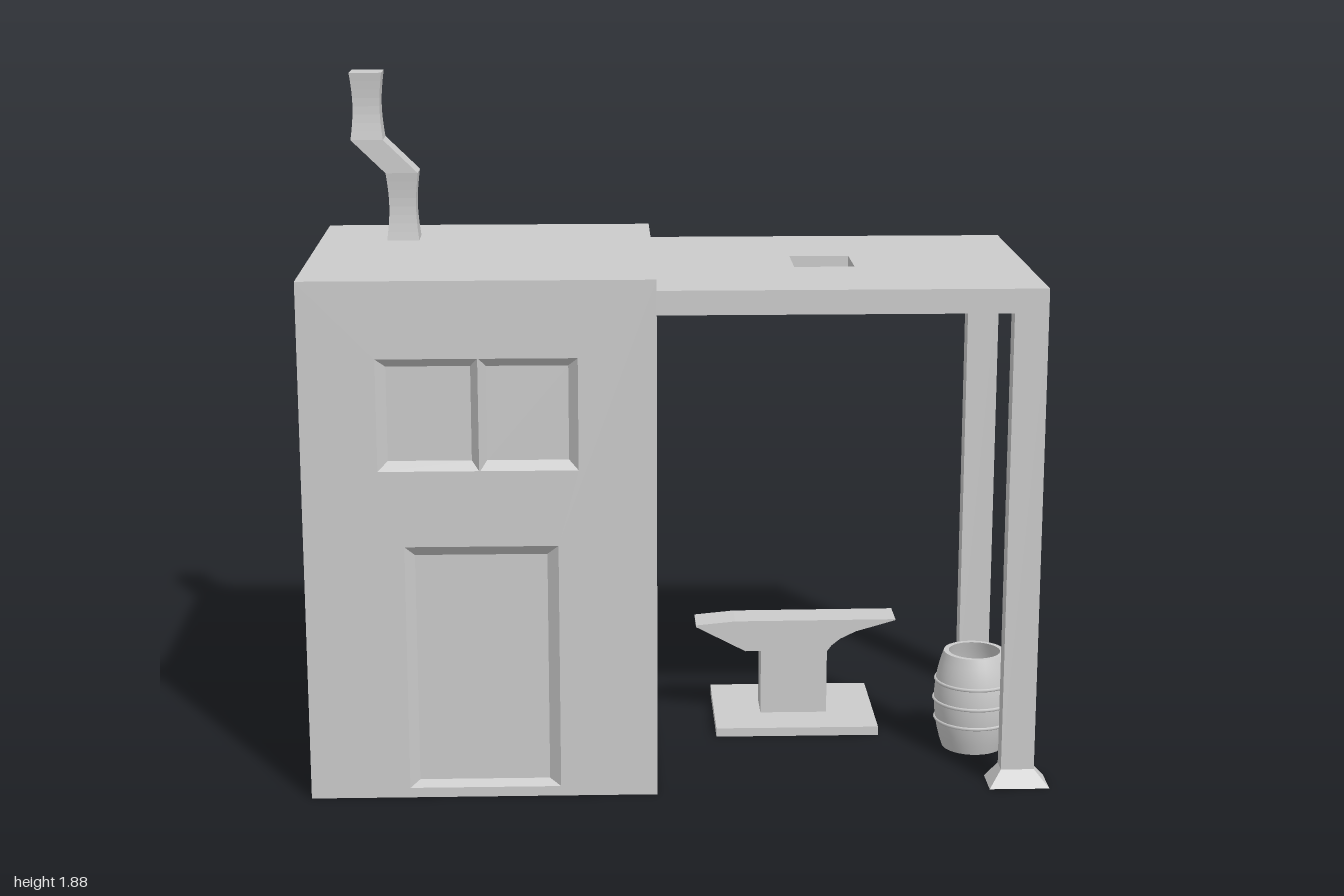
import * as THREE from 'three';

const material = new THREE.MeshStandardMaterial({ color: 0xcccccc });

// Four-cornered sections joined into a solid with flat faces
function loft(rings, startCap = true, endCap = true) {
  const pos = [];
  const quad = (a, b, c, d) => [a, b, c, a, c, d].forEach(p => pos.push(...p));
  for (let k = 0; k + 1 < rings.length; k++) {
    const r = rings[k], s = rings[k + 1];
    for (let i = 0; i < 4; i++) quad(r[i], r[(i + 1) % 4], s[(i + 1) % 4], s[i]);
  }
  const [a, b, c, d] = rings[0];
  if (startCap) quad(d, c, b, a);
  if (endCap) quad(...rings[rings.length - 1]);
  const g = new THREE.BufferGeometry();
  g.setAttribute('position', new THREE.Float32BufferAttribute(pos, 3));
  g.computeVertexNormals();
  return g;
}

const levelRing = (x0, x1, z0, z1, y) => [[x0, y, z1], [x1, y, z1], [x1, y, z0], [x0, y, z0]];
const uprightRing = ([x0, x1, y0, y1], z) => [[x0, y0, z], [x1, y0, z], [x1, y1, z], [x0, y1, z]];

function polygon(points, Type = THREE.Shape) {
  return new Type(points.map(([x, y]) => new THREE.Vector2(x, y)));
}
const rectangle = ([x0, x1, y0, y1], Type) =>
  polygon([[x0, y0], [x1, y0], [x1, y1], [x0, y1]], Type);

function add(parent, name, geometry) {
  const mesh = new THREE.Mesh(geometry, material);
  mesh.name = name;
  parent.add(mesh);
  return mesh;
}

// Building whose front has sunken door and window panes
function makeHouse() {
  const house = new THREE.Group();
  house.name = 'house';
  const wall = [-1, -0.07, 0, 1.41], front = 0.466, back = -0.466, depth = 0.03;
  const recesses = [
    ['door', [-0.735, -0.33, 0.027, 0.70], [-0.71, -0.36, 0.04, 0.67]],
    ['windowPaneRight', [-0.80, -0.535, 0.905, 1.205], [-0.775, -0.555, 0.927, 1.18]],
    ['windowPaneLeft', [-0.532, -0.275, 0.905, 1.205], [-0.515, -0.30, 0.927, 1.18]],
  ];
  add(house, 'walls', loft([uprightRing(wall, back), uprightRing(wall, front)], true, false));
  const face = rectangle(wall);
  for (const [name, outer, inner] of recesses) {
    face.holes.push(rectangle(outer, THREE.Path));
    add(house, name, loft([uprightRing(outer, front), uprightRing(inner, front - depth)], false));
  }
  add(house, 'frontWall', new THREE.ShapeGeometry(face)).position.z = front;
  return house;
}

// Crooked stovepipe: two waisted lengths joined by a slanted one
function makeChimney() {
  const rings = [];
  const z = -0.233, steps = 8;
  for (const [x, y0, y1] of [[-0.767, 1.41, 1.60], [-0.862, 1.693, 1.88]]) {
    for (let i = 0; i <= steps; i++) {
      const t = i / steps, s = 1 - 0.17 * Math.sin(Math.PI * t);
      rings.push(levelRing(x - 0.045 * s, x + 0.045 * s, z - 0.048 * s, z + 0.048 * s, y0 + (y1 - y0) * t));
    }
  }
  return loft(rings);
}

// Flat canopy with a smoke hole, on two legs with flared feet
function makeCanopy() {
  const canopy = new THREE.Group();
  canopy.name = 'canopy';
  const slab = rectangle([-0.07, 0.955, -0.435, 0.44]);
  slab.holes.push(rectangle([0.315, 0.48, -0.085, 0.09], THREE.Path));
  const roof = add(canopy, 'canopyRoof', new THREE.ExtrudeGeometry(slab, { depth: 0.065, bevelEnabled: false }));
  roof.rotation.x = -Math.PI / 2;
  roof.position.y = 1.31;
  for (const [name, z0, z1, f0, f1] of [
    ['frontLeg', 0.38, 0.435, 0.355, 0.46],
    ['backLeg', -0.44, -0.38, -0.465, -0.36],
  ]) {
    add(canopy, name, loft([
      levelRing(0.832, 0.995, f0, f1, 0),
      levelRing(0.865, 0.955, z0, z1, 0.047),
      levelRing(0.865, 0.955, z0, z1, 1.31),
    ]));
  }
  return canopy;
}

// Anvil: side profile pulled through its width, on a thin plate
function makeAnvil() {
  const anvil = new THREE.Group();
  anvil.name = 'anvil';
  const profile = polygon([
    [0.245, 0.025], [0.437, 0.025], [0.437, 0.21], [0.45, 0.228], [0.475, 0.248],
    [0.52, 0.27], [0.635, 0.303], [0.635, 0.306], [0.17, 0.304], [0.056, 0.293],
    [0.056, 0.288], [0.2, 0.213], [0.245, 0.213],
  ]);
  const body = add(anvil, 'anvilBody', new THREE.ExtrudeGeometry(profile, { depth: 0.105, bevelEnabled: false }));
  body.position.z = -0.205;
  const plate = add(anvil, 'anvilPlate', new THREE.BoxGeometry(0.465, 0.025, 0.38));
  plate.position.set(0.3425, 0.0125, -0.16);
  return anvil;
}

// Open barrel with three hoops
function makeBarrel() {
  const barrel = new THREE.Group();
  barrel.name = 'barrel';
  const bottom = 0.005, height = 0.28;
  const radius = y => 0.086 + 0.025 * (1 - ((2 * (y - bottom)) / height - 1) ** 2);
  const outside = [], inside = [];
  for (let i = 0; i <= 10; i++) {
    const y = bottom + (height * i) / 10;
    outside.push(new THREE.Vector2(radius(y), y));
    if (i >= 3) inside.unshift(new THREE.Vector2(radius(y) - 0.014, y));
  }
  inside.push(new THREE.Vector2(0, inside[inside.length - 1].y));
  add(barrel, 'barrelStaves', new THREE.LatheGeometry(outside, 32));
  add(barrel, 'barrelInside', new THREE.LatheGeometry(inside, 32));
  const rim = add(barrel, 'barrelRim', new THREE.RingGeometry(0.072, 0.086, 32));
  rim.rotation.x = -Math.PI / 2;
  rim.position.y = bottom + height;
  const base = add(barrel, 'barrelBase', new THREE.CircleGeometry(0.086, 32));
  base.rotation.x = Math.PI / 2;
  base.position.y = bottom;
  for (const y of [0.088, 0.145, 0.202]) {
    const hoop = add(barrel, 'barrelHoop', new THREE.TorusGeometry(radius(y), 0.005, 6, 32));
    hoop.rotation.x = Math.PI / 2;
    hoop.position.y = y;
  }
  barrel.position.set(0.832, 0, 0.127);
  return barrel;
}

export function createModel() {
  const model = new THREE.Group();
  model.name = 'smithy';
  model.add(makeHouse(), makeCanopy(), makeAnvil(), makeBarrel());
  add(model, 'chimney', makeChimney());
  return model;
}
